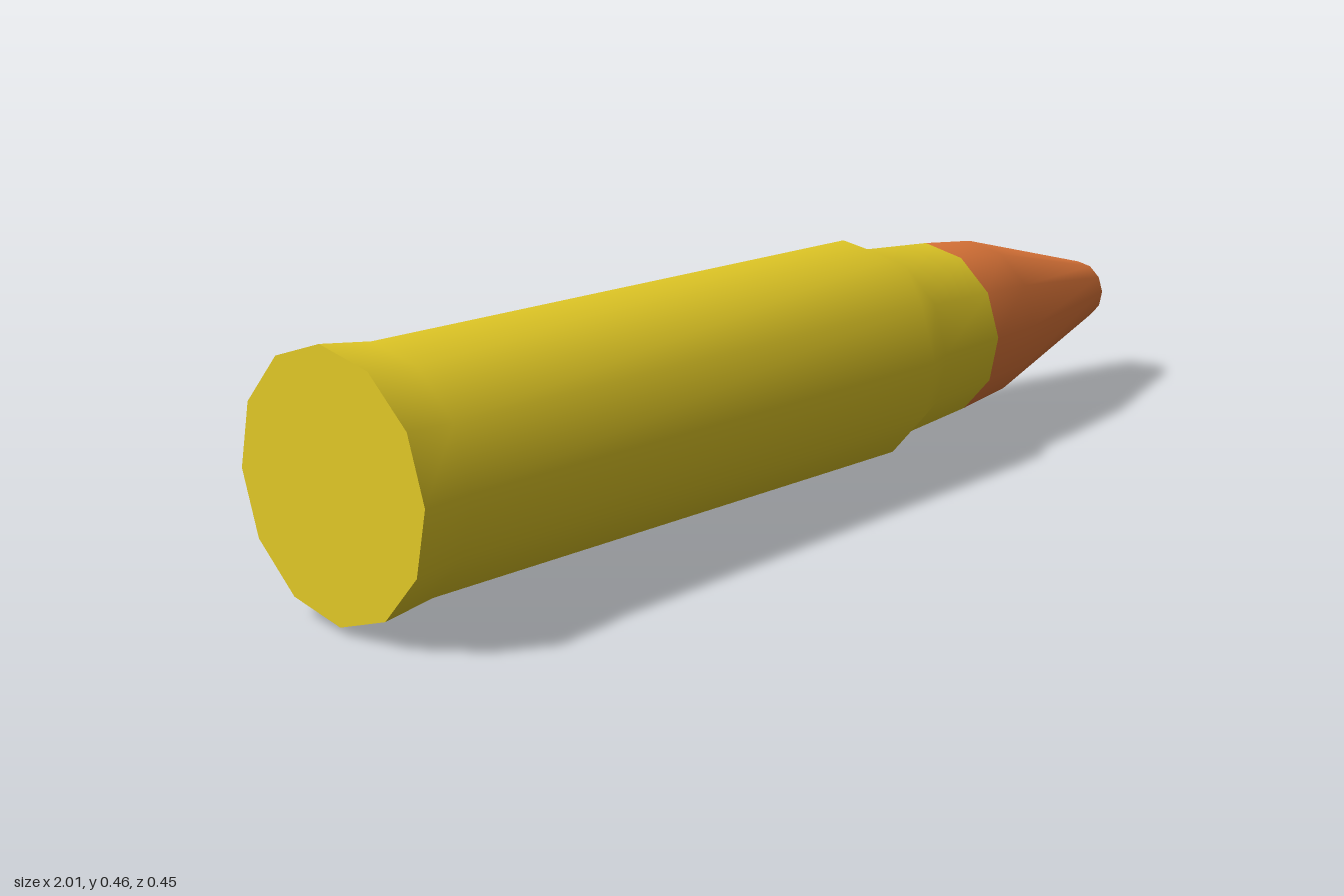
import * as THREE from 'three';

const SIDES = 12;

export function createModel() {
  const brass = new THREE.MeshStandardMaterial({ color: 0xe2c926 });
  brass.name = 'brass yellow';
  const copper = new THREE.MeshStandardMaterial({ color: 0xe2783a });
  copper.name = 'copper orange';

  const model = new THREE.Group();
  model.name = 'cartridge';
  // everything is turned around this slightly tilted long axis
  const body = new THREE.Group();
  body.name = 'tiltedBody';
  model.add(body);

  // profile points are [position along the axis, radius], from rear to tip
  function turned(name, profile, material) {
    const points = profile.map(([along, radius]) => new THREE.Vector2(radius, along));
    const geometry = new THREE.LatheGeometry(points, SIDES, THREE.MathUtils.degToRad(-3.9));
    geometry.rotateZ(-Math.PI / 2);
    const mesh = new THREE.Mesh(geometry, material);
    mesh.name = name;
    body.add(mesh);
  }

  // case with flared rim, straight body, shoulder and neck
  turned('case', [[-1, 0.224], [-0.9, 0.211], [0.23, 0.212], [0.3, 0.185], [0.48, 0.172]], brass);
  turned('caseBase', [[-1, 0], [-1, 0.224]], brass);

  // bullet with a blunt tip
  turned('bullet', [[0.48, 0.172], [0.62, 0.157], [1, 0.06]], copper);
  turned('bulletTip', [[1, 0.06], [1, 0]], copper);

  const axis = new THREE.Vector3(1, -0.0205, 0.0065).normalize();
  body.quaternion.setFromUnitVectors(new THREE.Vector3(1, 0, 0), axis);
  body.position.set(0, 0.2165, 0.0065);
  return model;
}
